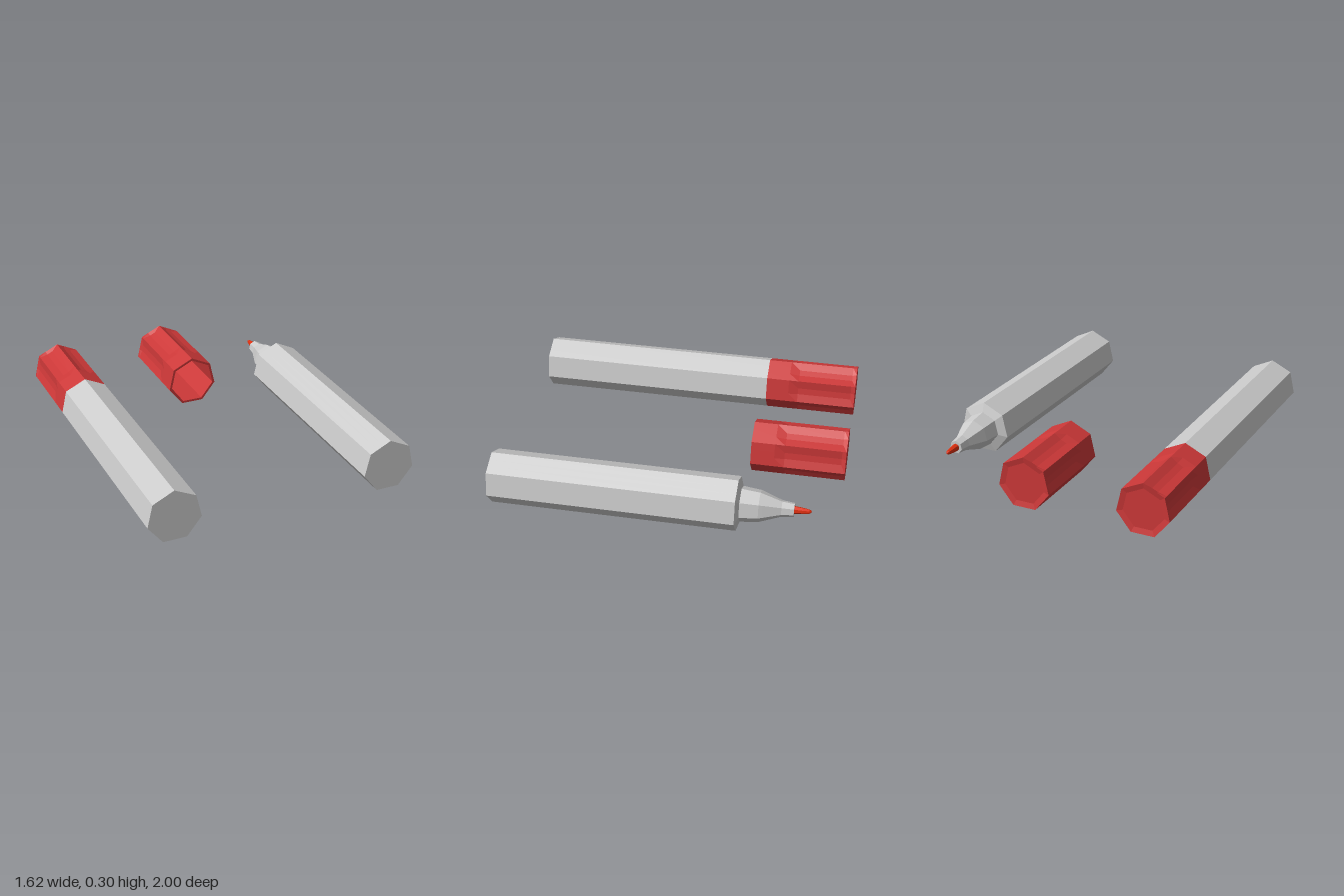
import * as THREE from 'three';

const SIDES = 7;
const R = 0.16;
const AXIS_Y = R * Math.cos(Math.PI / SIDES);

const grey = new THREE.MeshStandardMaterial({ color: 0xcccccc, flatShading: true });
const red = new THREE.MeshStandardMaterial({ color: 0xcc3838, flatShading: true });
const ink = new THREE.MeshStandardMaterial({ color: 0xe03010, flatShading: true });

// Seven-sided cross-section, corner up; each side carries two points that can be pressed inwards
function ring(r, z, dent = 0) {
  const pts = [];
  const corner = k => {
    const a = (k * 2 * Math.PI) / SIDES;
    return new THREE.Vector3(Math.sin(a) * r, Math.cos(a) * r, z);
  };
  for (let k = 0; k < SIDES; k++) {
    const a = corner(k), b = corner(k + 1);
    const inward = a.clone().add(b).setZ(0).normalize().multiplyScalar(-dent);
    pts.push(a, a.clone().lerp(b, 0.36).add(inward), a.clone().lerp(b, 0.64).add(inward));
  }
  return pts;
}

// Skin over stations [radius, z, dent], running from the front towards the back
function loft(stations) {
  const rings = stations.map(s => ring(...s));
  const pos = [];
  const tri = (a, b, c) => {
    const area = b.clone().sub(a).cross(c.clone().sub(a)).length();
    if (area > 1e-9) for (const p of [a, b, c]) pos.push(p.x, p.y, p.z);
  };
  for (let i = 0; i < rings.length - 1; i++) {
    const n = rings[i].length;
    for (let j = 0; j < n; j++) {
      const k = (j + 1) % n;
      tri(rings[i][j], rings[i][k], rings[i + 1][k]);
      tri(rings[i][j], rings[i + 1][k], rings[i + 1][j]);
    }
  }
  const g = new THREE.BufferGeometry();
  g.setAttribute('position', new THREE.Float32BufferAttribute(pos, 3));
  g.computeVertexNormals();
  return g;
}

function part(name, stations, material) {
  const mesh = new THREE.Mesh(loft(stations), material);
  mesh.name = name;
  return mesh;
}

// Outside of a cap: plain collar, then shallow grip hollows and a dished end
const capOutside = (open, end) => [
  [R, open], [R, open - 0.14], [R, open - 0.2, 0.01],
  [R, end + 0.025, 0.01], [R, end], [R * 0.78, end + 0.008], [0, end + 0.008],
];

function place(name, x, ...parts) {
  const g = new THREE.Group();
  g.name = name;
  g.position.set(x, AXIS_Y, 0);
  g.add(...parts);
  return g;
}

export function createModel() {
  const model = new THREE.Group();
  model.name = 'markerPens';

  // Closed pen
  model.add(place('closedPen', -0.657,
    part('closedBarrel', [[0, 1], [R, 1], [R, -0.435], [0, -0.435]], grey),
    part('fittedCap', capOutside(-0.435, -0.993), red)));

  // Loose hollow cap
  model.add(place('looseCap', 0.06,
    part('hollowCap', [[0, -0.95], [0.145, -0.95], [0.145, -0.44], ...capOutside(-0.44, -1)], red)));

  // Open pen: barrel, stepped neck and writing tip
  model.add(place('openPen', 0.654,
    part('openBarrel', [[0, 1], [R, 1], [R, -0.435], [0.105, -0.453], [0, -0.453]], grey),
    part('neck', [[0.105, -0.45], [0.093, -0.56], [0.086, -0.58], [0.048, -0.685],
      [0.04, -0.755], [0.024, -0.755], [0, -0.755]], grey),
    part('tip', [[0.023, -0.75], [0.018, -0.8], [0.012, -0.84], [0.006, -0.85], [0, -0.852]], ink)));

  return model;
}
